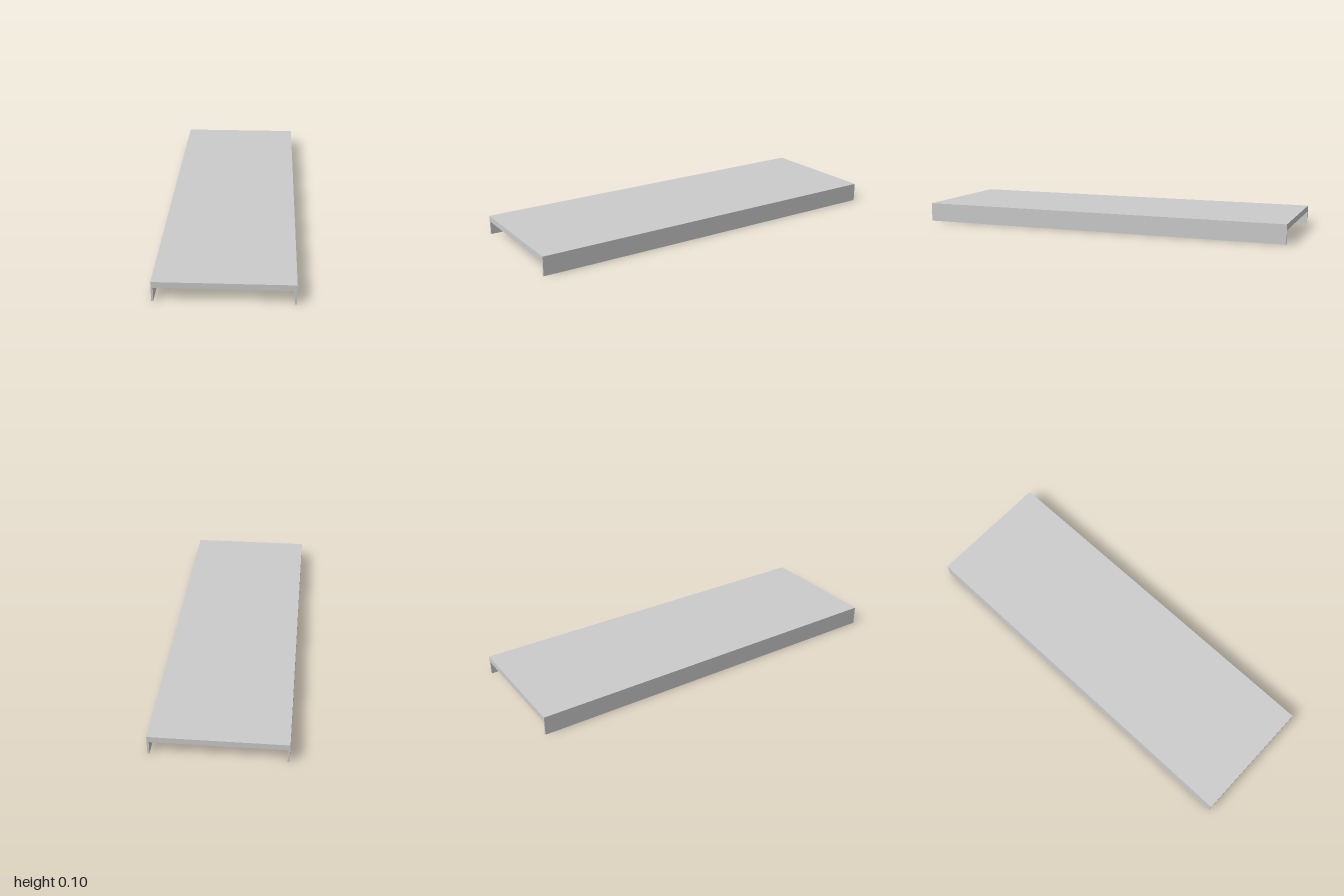
import * as THREE from 'three';

const HALF_WIDTH = 0.3333, HEIGHT = 0.1, UNDERSIDE = 0.07, LIP = 0.01, LENGTH = 2;

export function createModel() {
  const group = new THREE.Group();
  group.name = 'channelPanel';

  // Channel cross-section: a flat deck with a thin lip down each long side
  const inner = HALF_WIDTH - LIP;
  const profile = new THREE.Shape([
    [-HALF_WIDTH, 0], [-inner, 0], [-inner, UNDERSIDE], [inner, UNDERSIDE],
    [inner, 0], [HALF_WIDTH, 0], [HALF_WIDTH, HEIGHT], [-HALF_WIDTH, HEIGHT],
  ].map(([x, y]) => new THREE.Vector2(x, y)));

  // Run the section along the full length
  const geometry = new THREE.ExtrudeGeometry(profile, { depth: LENGTH, bevelEnabled: false });
  geometry.translate(0, 0, -LENGTH / 2);

  const panel = new THREE.Mesh(geometry, new THREE.MeshStandardMaterial({ color: 0xcccccc }));
  panel.name = 'deckWithSideLips';
  group.add(panel);
  return group;
}
